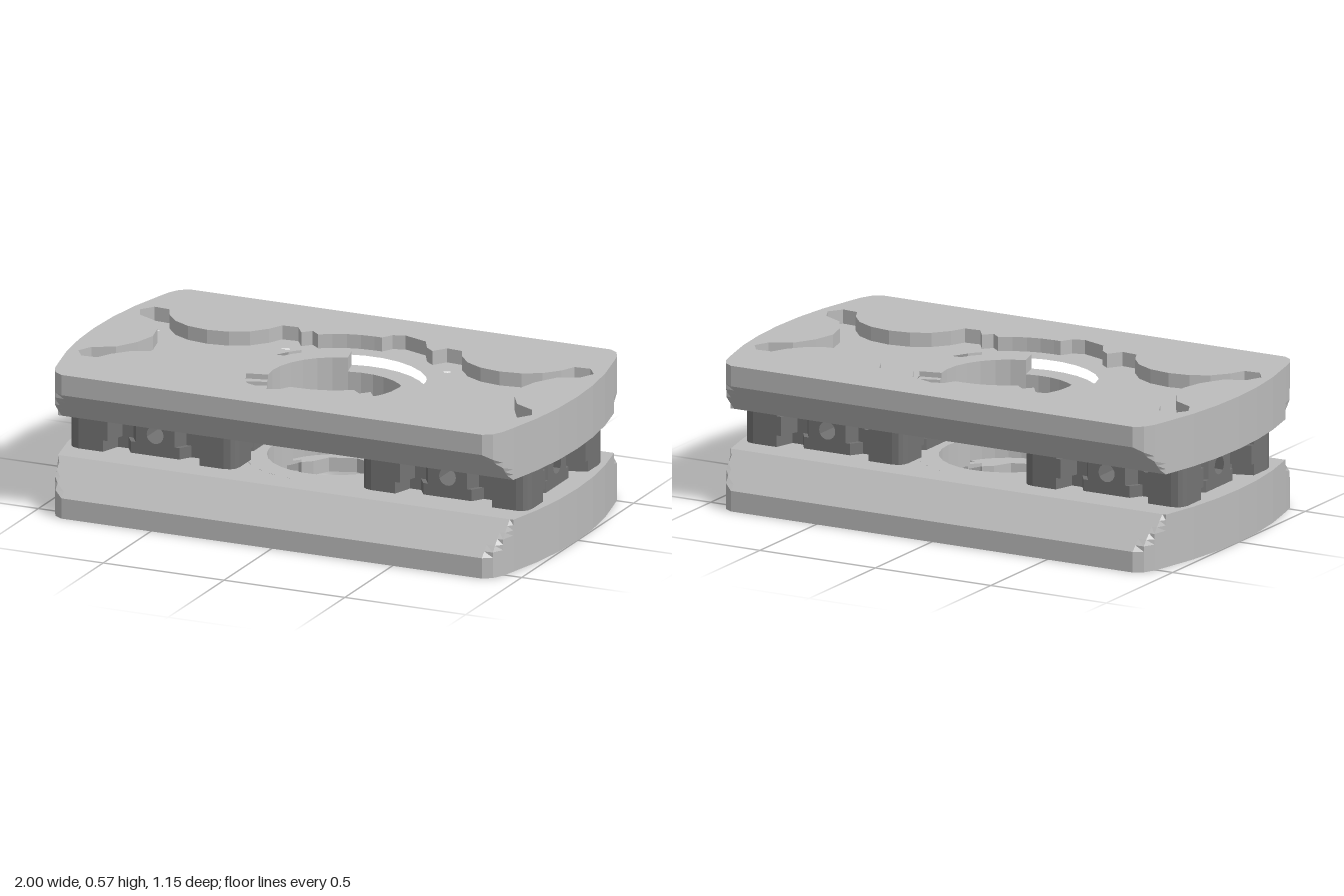
import * as THREE from 'three';

const plateMat = new THREE.MeshStandardMaterial({ name: 'lightGrey', color: 0xbcbcbc, flatShading: true });
const spacerMat = new THREE.MeshStandardMaterial({ name: 'darkGrey', color: 0x737373, flatShading: true });

const THICK = 0.205, HEIGHT = 0.567, RECESS = 0.055, POCKET = 0.08;
const BORE = 0.26, RING = 0.345, SCREW = 0.03;
const BLOCK_X = 0.605, SCREW_OFF = 0.27;
const rad = THREE.MathUtils.degToRad;

const toVec = (pts) => pts.map(([x, w]) => new THREE.Vector2(x, -w));
const at = (cx, cy, r, deg) => [cx + r * Math.cos(rad(deg)), cy + r * Math.sin(rad(deg))];
const ngon = (cx, cy, r, n, phase = 0) =>
  Array.from({ length: n }, (_, i) => at(cx, cy, r, phase + (i * 360) / n));
const fourWays = (fn) => [1, -1].flatMap((a) => [1, -1].map((b) => fn(a, b)));

// Horizontal slab between two heights, cut through by holes
function slab(outline, holes, y0, y1, steps = 1) {
  const shape = new THREE.Shape(toVec(outline));
  shape.holes = holes.map((h) => new THREE.Path(toVec(h)));
  const geo = new THREE.ExtrudeGeometry(shape, { depth: y1 - y0, steps, bevelEnabled: false });
  return geo.rotateX(-Math.PI / 2).translate(0, y0, 0);
}

function addMesh(group, name, geo, mat) {
  const mesh = new THREE.Mesh(geo, mat);
  mesh.name = name;
  group.add(mesh);
  return mesh;
}

// Plate outline: gently bowed ends and rounded corners
function plateOutline() {
  const q = [[1, 0], [0.994, 0.15], [0.975, 0.3], [0.942, 0.45], [0.927, 0.51], [0.905, 0.552], [0.87, 0.575]];
  const half = [...q, ...q.slice().reverse().map(([x, w]) => [-x, w])];
  return [...half, ...half.slice(1, -1).reverse().map(([x, w]) => [x, -w])];
}

// Outline of the shallow recess: two star shapes joined to the ring, with two lobes
function recessOutline() {
  const inner = [175, 115, 55, -5].map((a) => at(BLOCK_X - SCREW_OFF, SCREW_OFF, 0.064, a));
  const outer = [185, 125, 65, 5, -55].map((a) => at(BLOCK_X + SCREW_OFF, SCREW_OFF, 0.064, a));
  const dip = [[0.45, 0.205], [0.52, 0.168], [0.605, 0.155], [0.69, 0.168], [0.76, 0.205]];
  const star = [...inner, ...dip, ...outer, [0.83, 0.175], [0.78, 0.09]];
  const mirrored = star.slice().reverse().map(([x, w]) => [x, -w]);
  const lobe = [[0, RING], [0.03, RING], [0.055, 0.388], [0.1, 0.405], [0.2, 0.37], [0.235, 0.305]];
  const neck = [[0.24, -0.31], ...[-54, -63, -72, -81].map((a) => at(0, 0, RING, a))];
  const half = [...lobe, ...star, [0.758, 0], ...mirrored, ...neck];
  return [...half, ...half.map(([x, w]) => [-x, -w])];
}

// Ring sector between the bore and the counterbore
function ringSector(a0, a1) {
  const n = Math.max(1, Math.round((a1 - a0) / 12));
  const angles = Array.from({ length: n + 1 }, (_, i) => a0 + ((a1 - a0) * i) / n);
  return [
    ...angles.map((a) => at(0, 0, RING, a)),
    ...angles.reverse().map((a) => at(0, 0, BORE, a)),
  ];
}

function makePlate(name) {
  const plate = new THREE.Group();
  plate.name = name;
  const outline = plateOutline();
  const ring = ngon(0, 0, RING, 30);
  const eachScrew = (fn) => fourWays((a, b) => [-1, 1].map((c) =>
    fn(a * (BLOCK_X + c * SCREW_OFF), b * SCREW_OFF, a * b * c))).flat();

  addMesh(plate, 'recessedFace', slab(outline, [recessOutline()], 0, RECESS), plateMat);
  const pockets = eachScrew((x, w, s) => ngon(x, w, 0.064, 6, 5 * s));
  addMesh(plate, 'pocketLayer', slab(outline, [ring, ...pockets], RECESS, POCKET), plateMat);

  // Body with its long edges cut back at 45 degrees
  const screws = eachScrew((x, w) => ngon(x, w, SCREW, 14));
  const body = slab(outline, [ring, ...screws], POCKET, THICK, 6);
  const pos = body.attributes.position;
  for (let i = 0; i < pos.count; i++) {
    const limit = 0.575 - (pos.getY(i) - POCKET);
    pos.setZ(i, THREE.MathUtils.clamp(pos.getZ(i), -limit, limit));
  }
  body.computeVertexNormals();
  addMesh(plate, 'chamferedBody', body, plateMat);

  // Twist-lock ledges, repeated on the opposite side
  for (const turn of [0, 180]) {
    [[-75, 14, 0.065], [14, 20, 0.085], [20, 27, 0.1], [27, 105, 0.12]].forEach(([a0, a1, depth]) =>
      addMesh(plate, 'lockLedge', slab(ringSector(a0 + turn, a1 + turn), [], depth, THICK), plateMat));
  }
  return plate;
}

// One quarter of the spacer's notched outline; shift moves the notches inwards
function quarterOutline(shift) {
  const side = [[0.1, 0.31], [0.13, 0.265], [0.175, 0.265], [0.2, 0.345]].map(([x, w]) => [x - shift, w]);
  const half = [...side, [0.3, 0.345], [0.325, 0.338]];
  return [...half, ...half.slice().reverse().map(([x, w]) => [w, x])];
}

function makeSpacer(name) {
  const spacer = new THREE.Group();
  spacer.name = name;
  const low = 0.25, high = 0.325, mid = (low + high) / 2, gap = 0.07, face = 0.31;

  // Solid bottom and top layers
  const quarter = quarterOutline(0);
  let full = [];
  for (let k = 0; k < 4; k++) {
    const c = Math.round(Math.cos(k * Math.PI / 2)), s = Math.round(Math.sin(k * Math.PI / 2));
    full = full.concat(quarter.map(([x, w]) => [c * x + s * w, c * w - s * x]));
  }
  const screws = fourWays((a, b) => ngon(a * SCREW_OFF, b * SCREW_OFF, SCREW, 14));
  addMesh(spacer, 'lowerLayer', slab(full, screws, THICK, low), spacerMat);
  addMesh(spacer, 'upperLayer', slab(full, screws, high, HEIGHT - THICK), spacerMat);

  // Middle layer: four corner posts
  const post = [[gap, gap], [gap, face], ...quarterOutline(0.02), [face, gap]];
  fourWays((a, b) => addMesh(spacer, 'cornerPost', slab(
    post.map(([x, w]) => [a * x, b * w]),
    [ngon(a * SCREW_OFF, b * SCREW_OFF, SCREW, 14)], low, high), spacerMat));

  // Four arms with a round cross hole
  const h = (high - low) / 2;
  const section = new THREE.Shape(toVec([[-gap, -h], [gap, -h], [gap, h], [-gap, h]]));
  section.holes.push(new THREE.Path(toVec(ngon(0, 0, 0.035, 18))));
  for (let k = 0; k < 4; k++) {
    const arm = new THREE.ExtrudeGeometry(section, { depth: face - gap, bevelEnabled: false });
    arm.translate(0, mid, gap).rotateY(k * Math.PI / 2);
    addMesh(spacer, 'crossHoleArm', arm, spacerMat);
  }
  const core = new THREE.BoxGeometry(gap * 2, 0.045, gap * 2).translate(0, low + 0.0225, 0);
  addMesh(spacer, 'core', core, spacerMat);
  return spacer;
}

export function createModel() {
  const model = new THREE.Group();
  model.name = 'clampedPlates';

  const lower = makePlate('lowerPlate');
  const upper = makePlate('upperPlate');
  upper.rotation.x = Math.PI;
  upper.position.y = HEIGHT;
  model.add(lower, upper);

  for (const side of [-1, 1]) {
    const spacer = makeSpacer(side > 0 ? 'leftSpacer' : 'rightSpacer');
    spacer.position.x = side * BLOCK_X;
    model.add(spacer);
  }
  return model;
}
